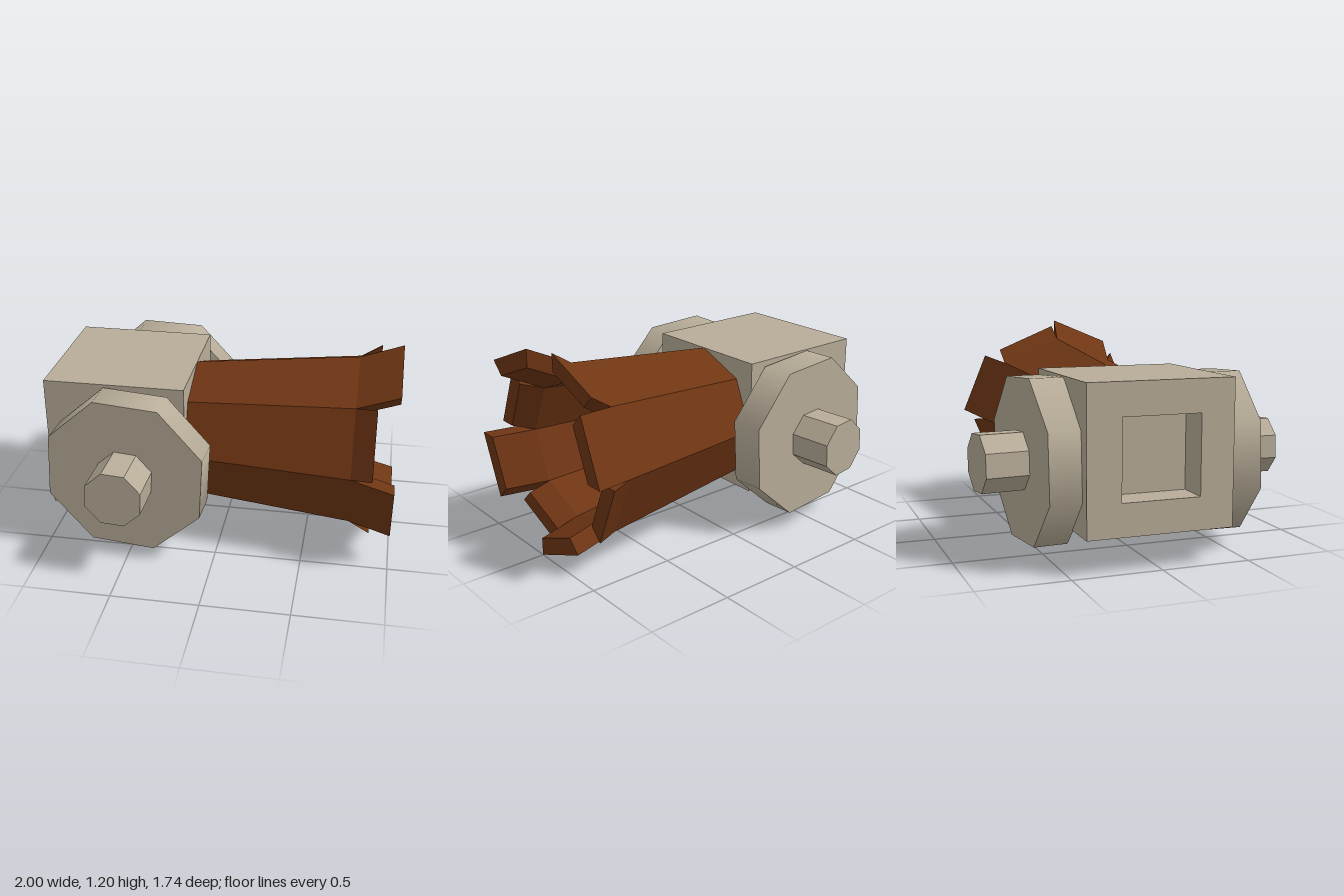
import * as THREE from 'three';

const stone = new THREE.MeshStandardMaterial({ color: 0xb8ad99, flatShading: true });
const stoneSmooth = new THREE.MeshStandardMaterial({ color: 0xb8ad99 });
const wood = new THREE.MeshStandardMaterial({ color: 0x703614, flatShading: true });
const AXIS_Y = 0.585;

function add(parent, name, geometry, material, x = 0, y = 0, z = 0) {
  const mesh = new THREE.Mesh(geometry, material);
  mesh.name = name;
  mesh.position.set(x, y, z);
  parent.add(mesh);
  return mesh;
}

// Square frame in the yz plane, running from its origin towards -x
function frame(halfZ, halfY, hole, depth) {
  const rect = (Type, a, b) => new Type([[-a, -b], [a, -b], [a, b], [-a, b]].map(p => new THREE.Vector2(...p)));
  const shape = rect(THREE.Shape, halfZ, halfY);
  shape.holes.push(rect(THREE.Path, hole, hole));
  return new THREE.ExtrudeGeometry(shape, { depth, bevelEnabled: false }).rotateY(-Math.PI / 2);
}

// Octagonal drum with its axis along z
function drum(radius, length) {
  return new THREE.CylinderGeometry(radius, radius, length, 8, 1, false, THREE.MathUtils.degToRad(19.2))
    .rotateX(Math.PI / 2);
}

// One barrel stave: straight from base to bend, then flaring out to its tip
function stave(angle, tipX, tipZ, tipY) {
  const h = Math.PI / 8;
  const n = [Math.sin(angle), Math.cos(angle)]; // outward (y, z)
  const t = [n[1], -n[0]];                      // sideways (y, z)
  const section = (x, outer, inner, my, mz) => {
    const corner = (side, r) => {
      const w = side * r * Math.sin(h), drop = (outer - r) * Math.cos(h);
      return [x, AXIS_Y + my - n[0] * drop + t[0] * w, mz - n[1] * drop + t[1] * w];
    };
    return [corner(-1, outer), corner(1, outer), corner(1, inner), corner(-1, inner)];
  };
  const ring = (x, outer, inner) => {
    const a = outer * Math.cos(h);
    return section(x, outer, inner, n[0] * a, n[1] * a);
  };
  const sections = [ring(-0.19, 0.415, 0.31), ring(0.76, 0.515, 0.41), section(tipX, 0.515, 0.41, tipY, tipZ)];
  const pos = [];
  const quad = (a, b, c, d) => pos.push(...a, ...b, ...c, ...a, ...c, ...d);
  for (let s = 0; s < 2; s++) {
    const p = sections[s], q = sections[s + 1];
    for (let i = 0; i < 4; i++) {
      const j = (i + 1) % 4;
      quad(p[i], q[i], q[j], p[j]);
    }
  }
  quad(...sections[0]);
  quad(...[...sections[2]].reverse());
  const g = new THREE.BufferGeometry();
  g.setAttribute('position', new THREE.Float32BufferAttribute(pos, 3));
  g.computeVertexNormals();
  return g;
}

export function createModel() {
  const model = new THREE.Group();
  model.name = 'cannon';

  // Breech block with a square recess in its rear face
  const breech = new THREE.Group();
  breech.name = 'breech';
  model.add(breech);
  add(breech, 'breechBlock', new THREE.BoxGeometry(0.62, 0.8, 0.82), stone, -0.5, 0.6, -0.01);
  add(breech, 'rearFrame', frame(0.41, 0.4, 0.22, 0.19), stone, -0.81, 0.6, -0.01);

  // Slightly tapered square plug inside the bore
  const plug = frame(0.232, 0.232, 0.15, 0.19);
  const p = plug.attributes.position;
  for (let i = 0; i < p.count; i++) {
    if (p.getX(i) > -0.01 && Math.abs(p.getY(i)) + Math.abs(p.getZ(i)) > 0.4) {
      p.setY(i, p.getY(i) * 0.95);
      p.setZ(i, p.getZ(i) * 0.95);
    }
  }
  plug.computeVertexNormals();
  add(breech, 'borePlug', plug, stone, 0, 0.6, 0);
  add(breech, 'borePlugFloor', new THREE.BoxGeometry(0.12, 0.31, 0.31), stone, -0.12, 0.6, 0);

  // Eight staves: angle in degrees, then tip x, z, y of the outer face centre
  const barrel = new THREE.Group();
  barrel.name = 'barrel';
  model.add(barrel);
  const staves = [
    [22.5, 0.88, 0.505, 0.215], [67.5, 1, 0.238, 0.55],
    [112.5, 0.88, -0.182, 0.517], [157.5, 1, -0.512, 0.213],
    [202.5, 0.88, -0.473, -0.2], [247.5, 1, -0.18, -0.503],
    [292.5, 0.88, 0.21, -0.492], [337.5, 1, 0.53, -0.2],
  ];
  for (const [deg, x, z, y] of staves) {
    add(barrel, 'barrelStave', stave(THREE.MathUtils.degToRad(deg), x, z, y), wood);
  }
  const boreEnd = new THREE.CircleGeometry(0.33, 8).rotateY(Math.PI / 2);
  add(barrel, 'boreEnd', boreEnd, wood, -0.17, AXIS_Y, 0);

  // Wheels lean apart towards the muzzle, each with an octagonal hub
  for (const side of [1, -1]) {
    const name = side > 0 ? 'front' : 'back';
    const wheel = add(model, name + 'Wheel', drum(0.48, 0.19), stoneSmooth, -0.49, 0.54, side * 0.525);
    wheel.rotation.y = -side * 0.053;
    const hub = add(model, name + 'Hub', drum(0.168, 0.26), stone, side > 0 ? -0.492 : -0.503, 0.54, side * 0.732);
    hub.rotation.y = side > 0 ? -0.02 : 0.08;
  }
  return model;
}
